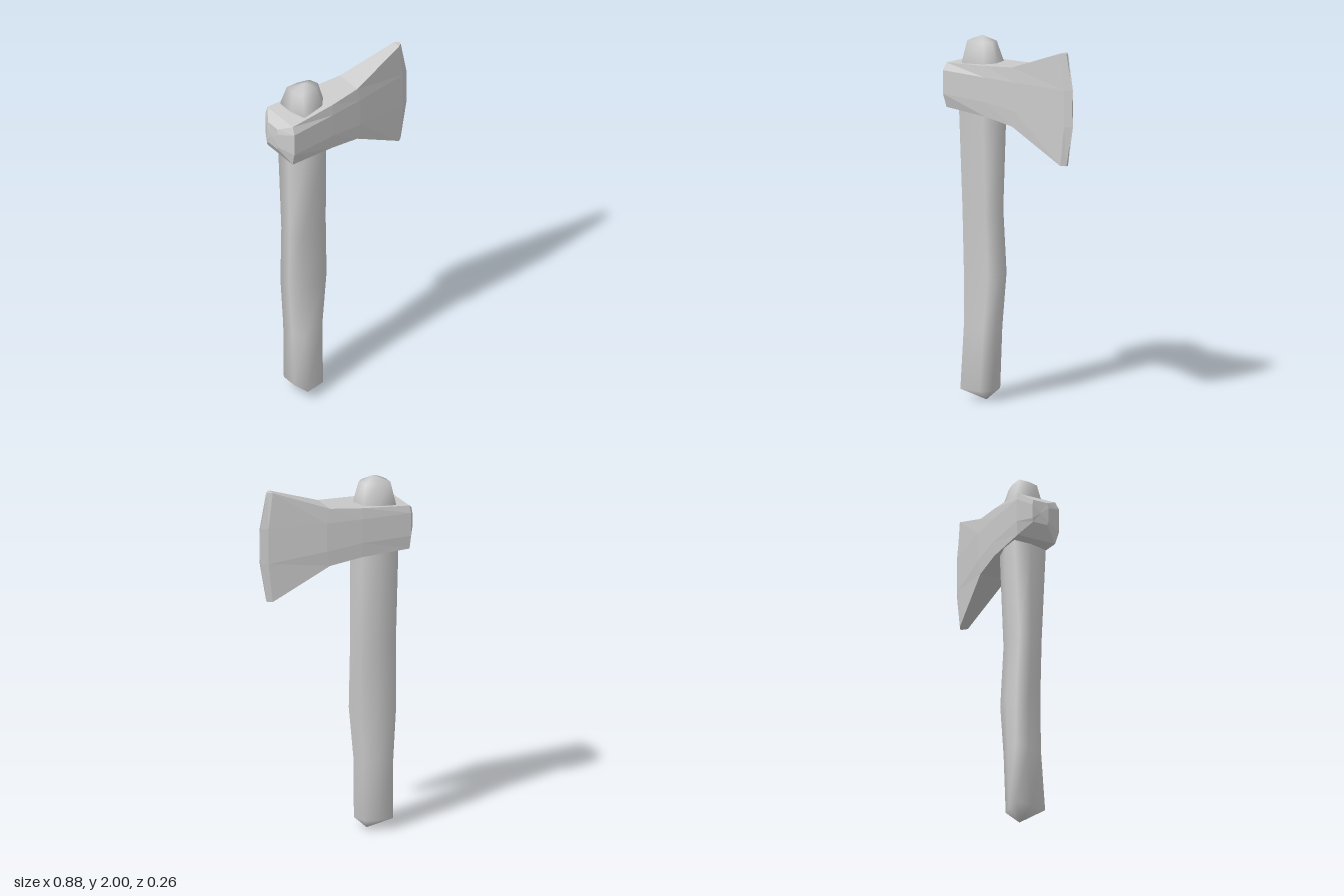
import * as THREE from 'three';

// Skin a list of equal-length rings and close both ends with fans to the given tips.
function loft(rings, startTip, endTip) {
  const n = rings[0].length;
  const points = [...rings.flat(), startTip, endTip];
  const start = points.length - 2, end = points.length - 1;
  const last = (rings.length - 1) * n;
  const index = [];
  for (let j = 0; j < n; j++) {
    const k = (j + 1) % n;
    for (let i = 0; i < rings.length - 1; i++) {
      const a = i * n + j, b = i * n + k;
      index.push(a, a + n, b, b, a + n, b + n);
    }
    index.push(start, j, k, end, last + k, last + j);
  }
  const geometry = new THREE.BufferGeometry();
  geometry.setAttribute('position', new THREE.Float32BufferAttribute(points.flat(), 3));
  geometry.setIndex(index);
  geometry.computeVertexNormals();
  return geometry;
}

function createHandle() {
  // Uneven seven-sided outline, as fractions of the width (x) and depth (z)
  const outline = [[0, 0], [0.46, 0], [0.88, 0.13], [1, 0.57], [0.78, 0.86], [0.12, 1], [0, 0.48]];
  // y, x min, x max, z min, z max
  const sections = [
    [0.06, -0.315, -0.135, -0.085, 0.105],
    [0.40, -0.315, -0.125, -0.09, 0.08],
    [0.70, -0.33, -0.093, -0.095, 0.07],
    [1.05, -0.335, -0.105, -0.08, 0.075],
    [1.58, -0.335, -0.105, -0.11, 0.1],
    [1.86, -0.325, -0.12, -0.1, 0.085],
    [1.97, -0.31, -0.153, -0.065, 0.055],
  ];
  const rings = sections.map(([y, x0, x1, z0, z1]) =>
    outline.map(([u, v]) => [x0 + u * (x1 - x0), y, z0 + v * (z1 - z0)]));
  const geometry = loft(rings, [-0.2, 0, 0], [-0.235, 2, -0.005]);
  const handle = new THREE.Mesh(geometry, new THREE.MeshStandardMaterial({ color: 0xcccccc }));
  handle.name = 'handle';
  return handle;
}

function createHead() {
  // Eight-sided section: corners at top and bottom, flat cheeks between.
  // xc: x at the corners, xm: x at the cheeks; zc: [front, back] at corners, zm: at cheeks
  const sections = [
    { xc: -0.44, xm: -0.443, top: 1.8, up: 1.77, low: 1.69, bottom: 1.67, zc: [0.03, -0.055], zm: [0.04, -0.06] },
    { xc: -0.395, xm: -0.4, top: 1.84, up: 1.8, low: 1.67, bottom: 1.595, zc: [0.108, -0.125], zm: [0.13, -0.134] },
    { xc: -0.12, xm: -0.12, top: 1.862, up: 1.8, low: 1.665, bottom: 1.583, zc: [0.09, -0.11], zm: [0.097, -0.116] },
    { xc: 0.06, xm: 0.08, top: 1.88, up: 1.8, low: 1.64, bottom: 1.555, zc: [0.068, -0.09], zm: [0.07, -0.094] },
    { xc: 0.375, xm: 0.4, top: 2, up: 1.8, low: 1.6, bottom: 1.38, zc: [0.015, -0.035], zm: [0.012, -0.035] },
    { xc: 0.4, xm: 0.44, top: 2, up: 1.8, low: 1.6, bottom: 1.38, zc: [-0.006, -0.018], zm: [-0.008, -0.016] },
  ];
  const rings = sections.map(({ xc, xm, top, up, low, bottom, zc, zm }) => [
    [xc, top, zc[0]], [xc, top, zc[1]],
    [xm, up, zm[1]], [xm, low, zm[1]],
    [xc, bottom, zc[1]], [xc, bottom, zc[0]],
    [xm, low, zm[0]], [xm, up, zm[0]],
  ]);
  const geometry = loft(rings, [-0.443, 1.73, -0.01], [0.44, 1.7, -0.012]);
  const material = new THREE.MeshStandardMaterial({ color: 0xcccccc, flatShading: true });
  const head = new THREE.Mesh(geometry, material);
  head.name = 'axeHead';
  return head;
}

export function createModel() {
  const axe = new THREE.Group();
  axe.name = 'axe';
  axe.add(createHandle(), createHead());
  return axe;
}
